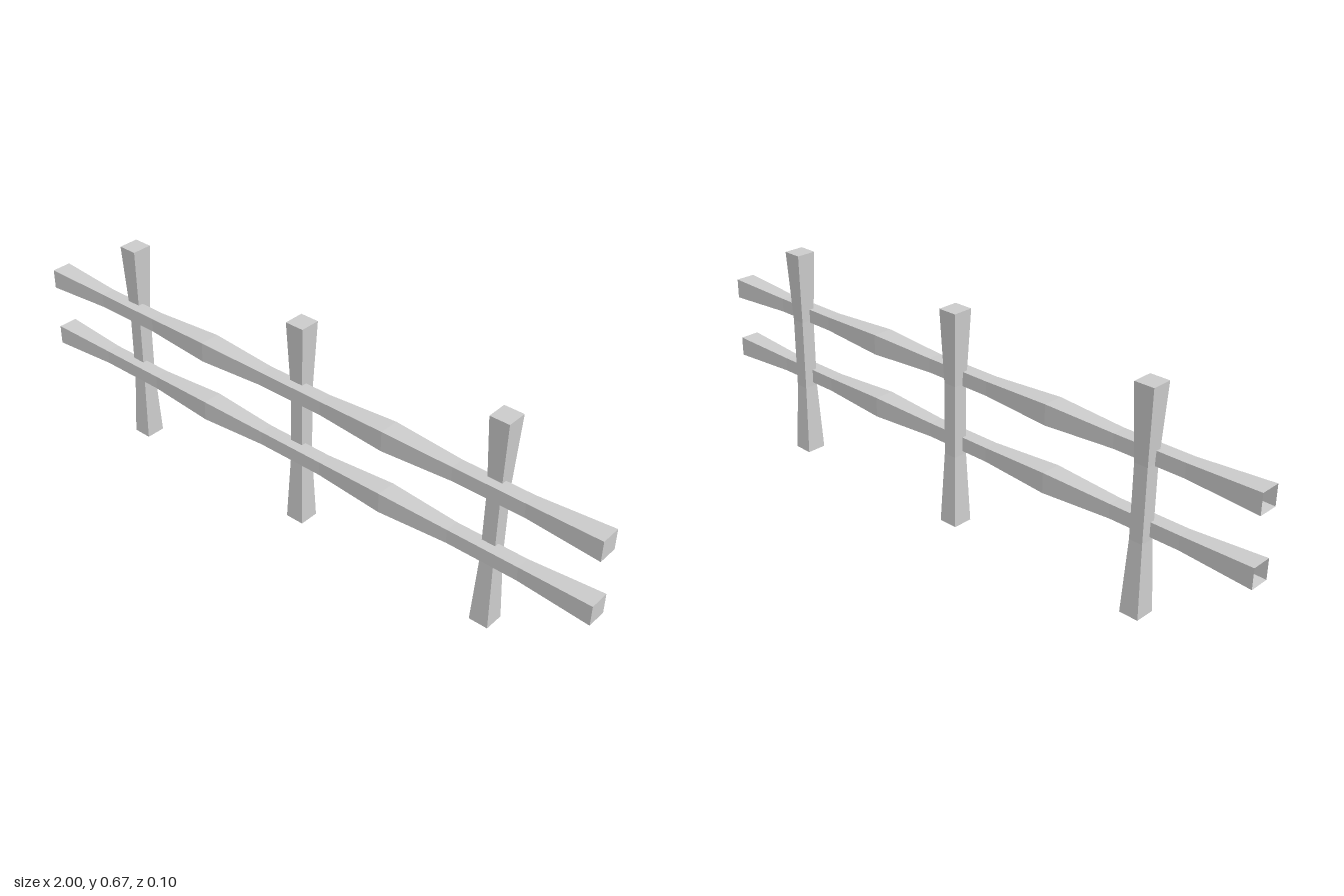
import * as THREE from 'three';

const UNIT = 2 / 3;     // length of one waisted section of timber
const WAIST = 0.7;      // waist thickness relative to the ends

const material = new THREE.MeshStandardMaterial({
  color: 0xcccccc, flatShading: true, side: THREE.DoubleSide,
});

// Square timber along y from 0, repeating a thick-thin-thin-thick profile; the lower end is open
function timber(name, sections, width, depth) {
  const rows = sections * 3;
  const geometry = new THREE.BoxGeometry(width, sections * UNIT, depth, 1, rows, 1);
  geometry.translate(0, sections * UNIT / 2, 0);
  const p = geometry.attributes.position;
  for (let i = 0; i < p.count; i++) {
    const row = Math.round(p.getY(i) / (UNIT / 3));
    const k = row % 3 === 0 ? 1 : WAIST;
    p.setX(i, p.getX(i) * k);
    p.setZ(i, p.getZ(i) * k);
  }
  // leave out the bottom face
  const bottom = geometry.groups[3];
  const index = Array.from(geometry.index.array);
  index.splice(bottom.start, bottom.count);
  geometry.setIndex(index);
  geometry.clearGroups();
  geometry.computeVertexNormals();
  const mesh = new THREE.Mesh(geometry, material);
  mesh.name = name;
  return mesh;
}

export function createModel() {
  const fence = new THREE.Group();
  fence.name = 'fence';

  // Three upright posts
  ['rightPost', 'middlePost', 'leftPost'].forEach((name, i) => {
    const post = timber(name, 1, 0.06, 0.063);
    post.position.set((i - 1) * UNIT, 0, -0.0145);
    fence.add(post);
  });

  // Two rails running across the front of the posts
  [['lowerRail', 0.255], ['upperRail', 0.46]].forEach(([name, y]) => {
    const rail = timber(name, 3, 0.062, 0.063);
    rail.rotation.z = -Math.PI / 2;
    rail.position.set(-1, y, 0.015);
    fence.add(rail);
  });

  fence.rotation.y = 0.0015;
  const model = new THREE.Group();
  model.add(fence);
  return model;
}
